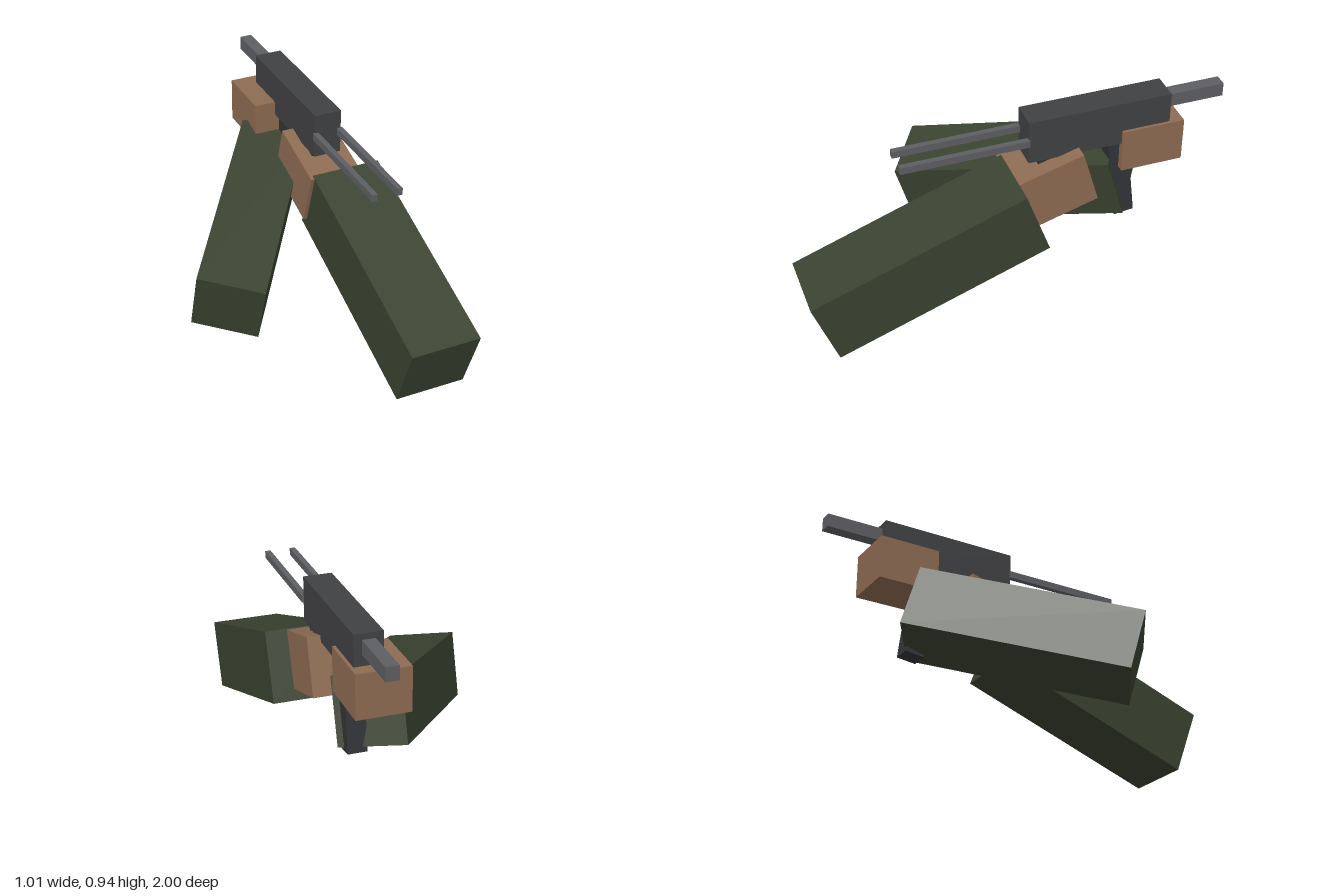
import * as THREE from 'three';

const material = (color) => new THREE.MeshStandardMaterial({ color, flatShading: true });
const deg = THREE.MathUtils.degToRad;

export function createModel() {
  const model = new THREE.Group();
  const sleeve = material(0x3a4230);
  const skin = material(0x8d6b52);
  const body = material(0x404143);
  const dark = material(0x333438);
  const steel = material(0x5e5f63);

  // Box with size, centre and optional pitch and yaw in degrees
  const box = (name, mat, size, centre, pitch = 0, yaw = 0) => {
    const mesh = new THREE.Mesh(new THREE.BoxGeometry(...size), mat);
    mesh.name = name;
    mesh.position.set(...centre);
    mesh.rotation.set(deg(pitch), deg(yaw), 0);
    model.add(mesh);
  };

  // Arms
  box('leftSleeve', sleeve, [0.335, 0.33, 1.048], [0.337, 0.34, 0.45], 20);
  box('rightSleeve', sleeve, [0.315, 0.313, 1.048], [-0.08, 0.378, -0.145], 16.5, -34);

  // Hands
  box('leftHand', skin, [0.25, 0.27, 0.335], [0.277, 0.582, -0.167], 16.5);
  box('rightHand', skin, [0.25, 0.21, 0.295], [0.23, 0.693, -0.643]);

  // Gun body with stock, grip and magazine
  box('gunBody', body, [0.132, 0.214, 0.672], [0.274, 0.837, -0.389]);
  box('stock', steel, [0.06, 0.065, 0.29], [0.273, 0.883, -0.855]);
  box('grip', dark, [0.09, 0.43, 0.095], [0.274, 0.527, -0.512], 7);
  box('magazine', dark, [0.11, 0.22, 0.13], [0.274, 0.64, -0.18], 10);

  // Twin barrels, one along each side of the body
  for (const side of [-1, 1]) {
    box(side > 0 ? 'leftBarrel' : 'rightBarrel', steel, [0.026, 0.034, 0.59], [0.274 + side * 0.061, 0.838, 0.238]);
  }

  return model;
}
